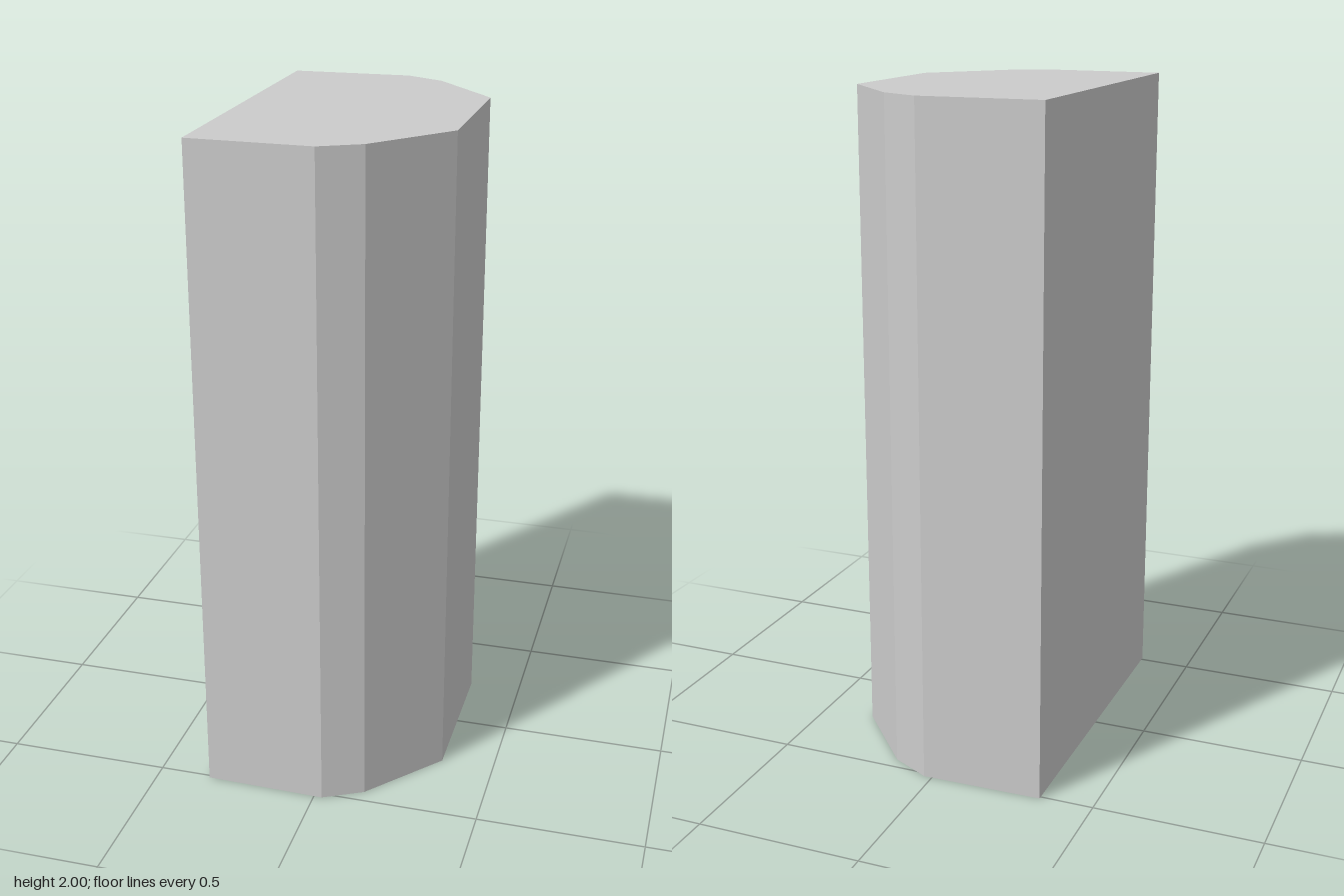
import * as THREE from 'three';

export function createModel() {
  const group = new THREE.Group();
  group.name = 'facetedColumn';

  // Half of the cross-section, from the flat side to the faceted side
  const half = [[-0.34, 0.51], [0.025, 0.518], [0.143, 0.457], [0.338, 0.233]];

  // Mirror it to close the outline
  const outline = [
    ...half.map(([x, z]) => new THREE.Vector2(x, -z)),
    ...half.toReversed().map(([x, z]) => new THREE.Vector2(x, z)),
  ];

  // Upright prism with sharp facets
  const geometry = new THREE.ExtrudeGeometry(new THREE.Shape(outline), {
    depth: 2,
    bevelEnabled: false,
  });
  geometry.rotateX(-Math.PI / 2);

  const material = new THREE.MeshStandardMaterial({ color: 0xcccccc, flatShading: true });
  const column = new THREE.Mesh(geometry, material);
  column.name = 'column';
  group.add(column);
  return group;
}
